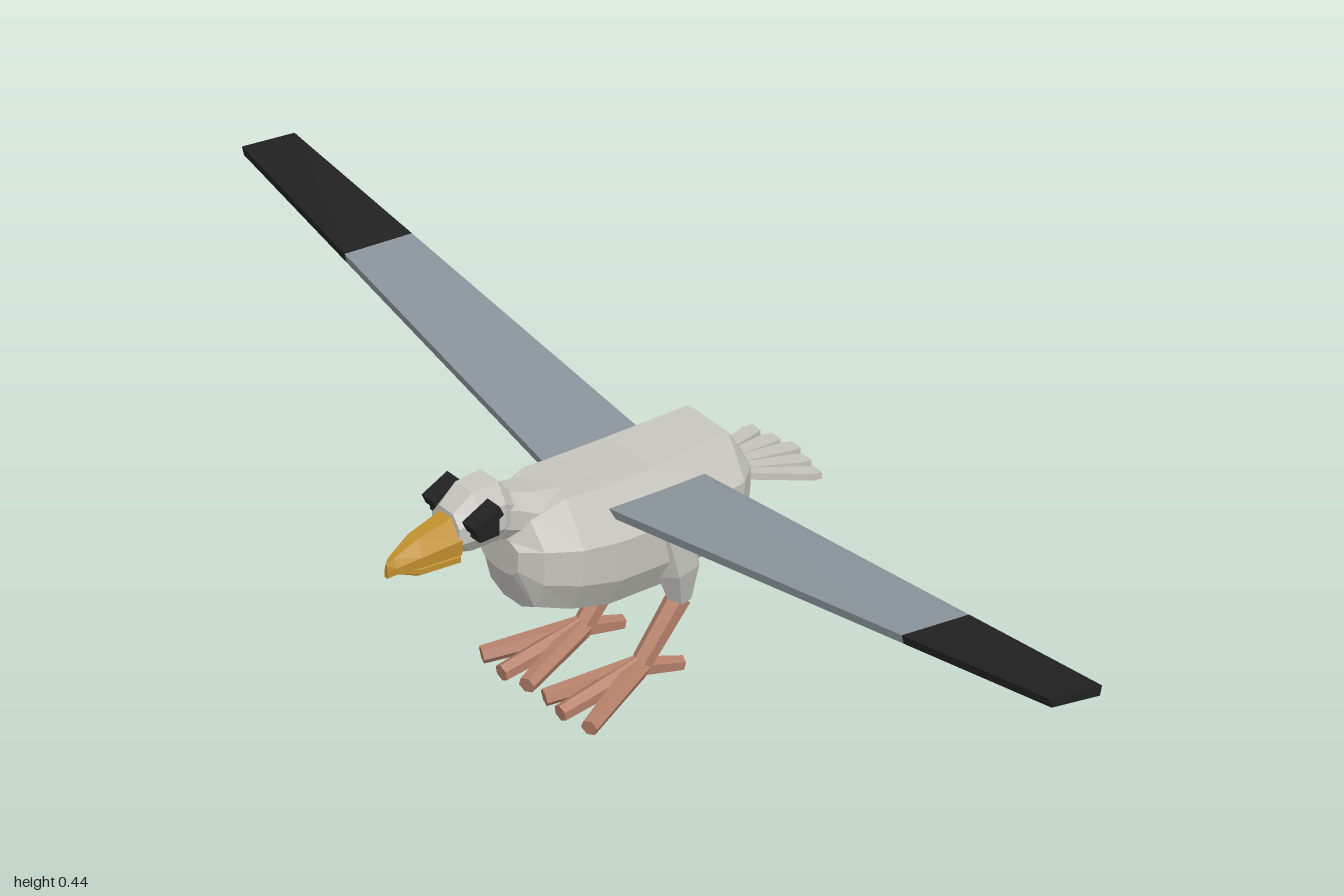
import * as THREE from 'three';

const V = (x, y, z) => new THREE.Vector3(x, y, z);
const mean = (ring) => ring.reduce((a, p) => a.add(p), V(0, 0, 0)).divideScalar(ring.length);

// Faceted, capped skin through cross-section rings of equal point count
function loft(rings) {
  const centres = rings.map(mean);
  const last = rings.length - 1;
  const axis = centres[last].clone().sub(centres[0]);
  const area = V(0, 0, 0), widest = rings[last >> 1], mid = centres[last >> 1];
  widest.forEach((p, i) => {
    const q = widest[(i + 1) % widest.length];
    area.add(p.clone().sub(mid).cross(q.clone().sub(mid)));
  });
  const R = area.dot(axis) < 0 ? rings.map((r) => [...r].reverse()) : rings;
  const n = R[0].length, pts = [];
  for (let j = 0; j < n; j++) {
    const k = (j + 1) % n;
    for (let i = 0; i < last; i++) {
      pts.push(R[i][j], R[i][k], R[i + 1][k], R[i][j], R[i + 1][k], R[i + 1][j]);
    }
    pts.push(centres[0], R[0][k], R[0][j], centres[last], R[last][j], R[last][k]);
  }
  const g = new THREE.BufferGeometry().setFromPoints(pts);
  g.computeVertexNormals();
  return g;
}

// Symmetric ring across x: half profile as [x, y] from top to bottom
const symmetric = (z, half) => [
  ...half.map(([x, y]) => V(x, y, z)),
  ...[...half].reverse().map(([x, y]) => V(-x, y, z)),
];

// Eight-sided ring with flattened top, sides and bottom
const octagon = (z, top, bottom, w) => {
  const h = top - bottom;
  return symmetric(z, [[w * 0.5, top], [w, top - h * 0.3], [w, bottom + h * 0.3], [w * 0.5, bottom]]);
};

// Tapered faceted rod between two points
function rod(a, b, ra, rb, sides = 6) {
  const dir = b.clone().sub(a);
  const g = new THREE.CylinderGeometry(rb, ra, dir.length(), sides).toNonIndexed();
  g.computeVertexNormals();
  g.applyQuaternion(new THREE.Quaternion().setFromUnitVectors(V(0, 1, 0), dir.clone().normalize()));
  const c = a.clone().add(b).multiplyScalar(0.5);
  return g.translate(c.x, c.y, c.z);
}

export function createModel() {
  const model = new THREE.Group();
  const mat = (name, color) => {
    const m = new THREE.MeshStandardMaterial({ color });
    m.name = name;
    return m;
  };
  const plumage = mat('pale plumage', 0xc6c5be);
  const grey = mat('wing grey', 0x8b959b);
  const black = mat('black', 0x212121);
  const horn = mat('beak yellow', 0xc0902f);
  const skin = mat('leg skin', 0xb5806a);
  const add = (name, geometry, material, parent = model) => {
    const m = new THREE.Mesh(geometry, material);
    m.name = name;
    parent.add(m);
    return m;
  };

  // Body sections: z, top, shoulder, flank, belly edge, bottom, half width
  const body = [
    [-0.265, 0.33, 0.31, 0.265, 0.245, 0.235, 0.06],
    [-0.23, 0.38, 0.31, 0.235, 0.2, 0.19, 0.09],
    [-0.08, 0.378, 0.303, 0.232, 0.175, 0.157, 0.105],
    [0.02, 0.382, 0.307, 0.235, 0.178, 0.161, 0.105],
    [0.09, 0.388, 0.315, 0.25, 0.195, 0.177, 0.1],
    [0.15, 0.365, 0.325, 0.265, 0.215, 0.2, 0.08],
    [0.177, 0.33, 0.32, 0.285, 0.272, 0.268, 0.048],
  ];
  add('body', loft(body.map(([z, t, s, f, e, b, w]) => symmetric(z, [
    [w * 0.55, t], [w, s], [w * 0.97, f], [w * 0.68, e], [w * 0.28, b],
  ]))), plumage);

  add('neck', loft([
    octagon(0.08, 0.392, 0.27, 0.055), octagon(0.12, 0.398, 0.29, 0.05),
    octagon(0.165, 0.412, 0.325, 0.036), octagon(0.19, 0.42, 0.335, 0.036),
  ]), plumage);

  add('head', loft([
    octagon(0.17, 0.416, 0.345, 0.03), octagon(0.196, 0.445, 0.337, 0.042),
    octagon(0.245, 0.442, 0.338, 0.042), octagon(0.28, 0.415, 0.345, 0.034),
  ]), plumage);

  // Upper and lower beak
  const bill = (z, top, bottom, w) =>
    symmetric(z, [[w * 0.4, top], [w, top * 0.45 + bottom * 0.55], [w * 0.95, bottom]]);
  add('upperBeak', loft([
    bill(0.275, 0.408, 0.348, 0.036), bill(0.345, 0.391, 0.348, 0.027),
    bill(0.385, 0.37, 0.344, 0.013), bill(0.396, 0.36, 0.337, 0.004),
  ]), horn);
  add('lowerBeak', loft([
    octagon(0.276, 0.352, 0.327, 0.033), octagon(0.345, 0.352, 0.327, 0.024),
    octagon(0.388, 0.349, 0.343, 0.008),
  ]), horn);

  // Fan of tail feathers
  const tail = new THREE.Group();
  tail.name = 'tail';
  model.add(tail);
  for (let i = -2; i <= 2; i++) {
    const end = -0.4 + Math.abs(i) * 0.009;
    const blade = (x, y, z, w) => [
      V(x - w, y + 0.006, z), V(x + w, y + 0.006, z), V(x + w, y - 0.006, z), V(x - w, y - 0.006, z),
    ];
    add('tailFeather', loft([
      blade(i * 0.012, 0.284, -0.25, 0.008), blade(i * 0.036, 0.264, end + 0.018, 0.014),
      blade(i * 0.038, 0.261, end, 0.011),
    ]), plumage, tail);
  }

  for (const s of [1, -1]) {
    const side = s > 0 ? 'left' : 'right';

    // Swept, tapering wing with a dark tip
    const section = (x) => {
      const t = (x - 0.08) / 0.92, mix = (a, b) => a + (b - a) * t;
      const front = mix(0.022, -0.108), back = mix(-0.165, -0.21);
      const yf = mix(0.354, 0.42), yb = mix(0.343, 0.405), d = 0.017;
      return [V(s * x, yf, front), V(s * x, yb, back), V(s * x, yb - d, back + 0.004), V(s * x, yf - d, front - 0.004)];
    };
    const wing = new THREE.Group();
    wing.name = side + 'Wing';
    model.add(wing);
    add('innerWing', loft([section(0.05), section(0.69)]), grey, wing);
    add('wingTip', loft([section(0.69), section(1)]), black, wing);

    // Eye block with a slanted brow
    const eye = new THREE.Group();
    eye.name = side + 'Eye';
    model.add(eye);
    add('eyePatch', new THREE.BoxGeometry(0.026, 0.038, 0.038), black, eye).position.set(s * 0.049, 0.397, 0.243);
    const brow = add('brow', new THREE.BoxGeometry(0.03, 0.02, 0.055), black, eye);
    brow.position.set(s * 0.05, 0.411, 0.247);
    brow.rotation.x = 0.44;

    // Feathered thigh, shin and toes
    const leg = new THREE.Group();
    leg.name = side + 'Leg';
    model.add(leg);
    const hex = (x, y, z, rx, rz) => Array.from({ length: 6 }, (_, i) => {
      const a = (i * Math.PI) / 3;
      return V(s * x + Math.sin(a) * rx, y + Math.cos(a) * rz * -0.25, z + Math.cos(a) * rz);
    });
    add('thigh', loft([
      hex(0.071, 0.137, -0.117, 0.021, 0.019), hex(0.08, 0.205, -0.108, 0.033, 0.038),
      hex(0.085, 0.298, -0.078, 0.028, 0.029),
    ]), plumage, leg);
    const ankle = V(s * 0.071, 0.042, -0.04);
    add('shin', rod(V(s * 0.071, 0.138, -0.117), ankle, 0.02, 0.017), skin, leg);
    for (const x of [0.022, 0.073, 0.133]) {
      add('frontToe', rod(ankle, V(s * x, 0.018, x === 0.073 ? 0.115 : 0.106), 0.019, 0.0145), skin, leg);
    }
    add('backToe', rod(ankle, V(s * 0.074, 0.019, -0.118), 0.017, 0.013), skin, leg);
  }
  return model;
}
